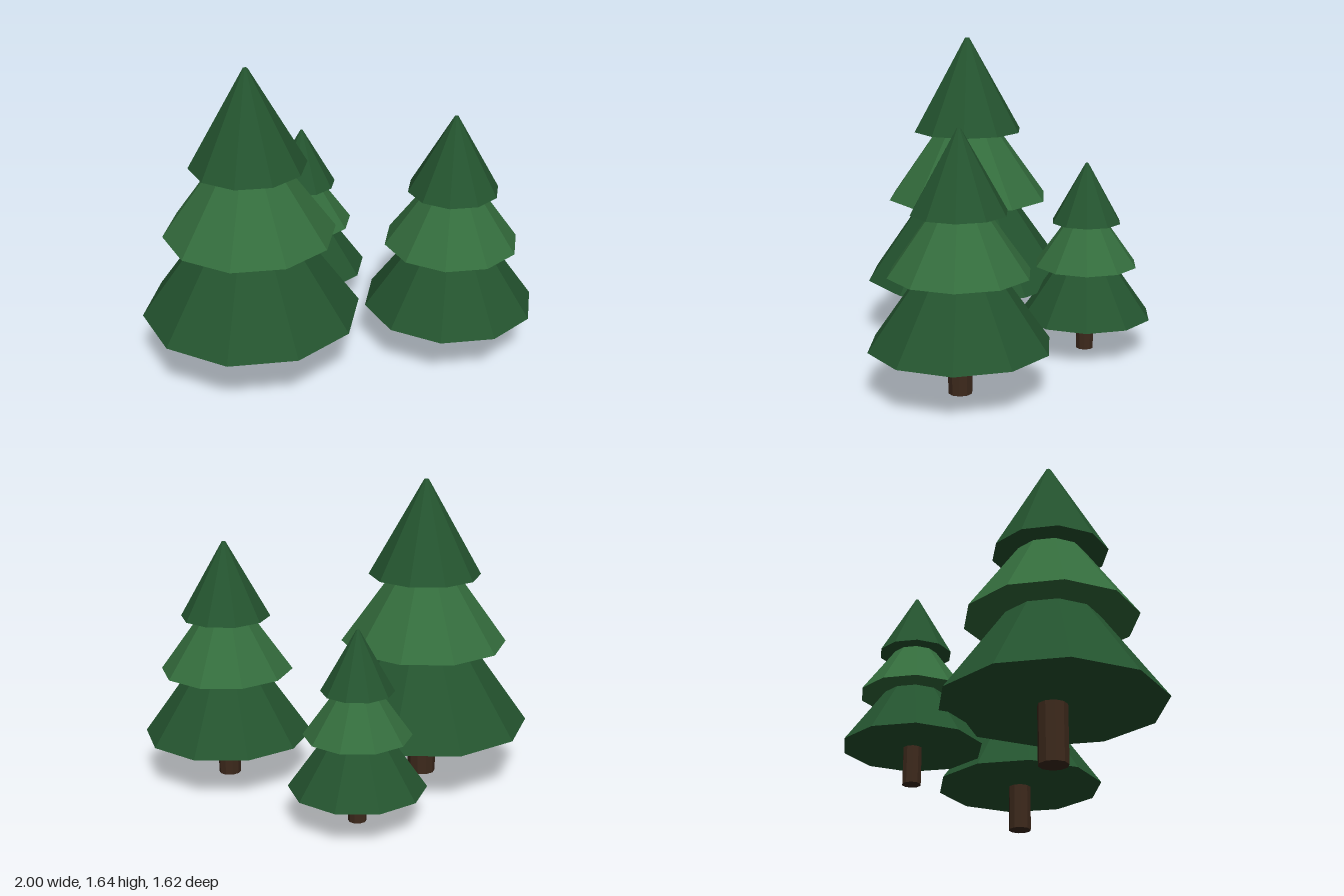
import * as THREE from 'three';

const SIDES = 10;
const material = (color) => new THREE.MeshStandardMaterial({ color, flatShading: true, roughness: 0.9 });

export function createModel() {
  const bark = material(0x3d291c);
  const darkGreen = material(0x24542f);
  const lightGreen = material(0x346d3d);

  // Tapered ten-sided solid standing on height y
  const frustum = (name, topRadius, radius, y, top, mat) => {
    const geometry = new THREE.CylinderGeometry(topRadius, radius, top - y, SIDES);
    geometry.translate(0, (y + top) / 2, 0);
    const mesh = new THREE.Mesh(geometry, mat);
    mesh.name = name;
    return mesh;
  };

  // One fir: trunk and three overlapping skirts of branches
  const createTree = (name, x, z, scale) => {
    const tree = new THREE.Group();
    tree.name = name;
    tree.add(
      frustum('trunk', 0.076, 0.076, 0, 0.36, bark),
      frustum('lowerBranches', 0.012, 0.57, 0.305, 1.09, darkGreen),
      frustum('middleBranches', 0.012, 0.445, 0.757, 1.36, lightGreen),
      frustum('upperBranches', 0.012, 0.3, 1.13, 1.64, darkGreen),
    );
    tree.position.set(x, 0, z);
    tree.scale.setScalar(scale);
    return tree;
  };

  const model = new THREE.Group();
  model.name = 'firTrees';
  model.add(
    createTree('largeTree', -0.458, 0.053, 1),
    createTree('mediumTree', 0.566, 0.353, 0.8),
    createTree('smallTree', 0.083, -0.459, 0.62),
  );
  return model;
}
